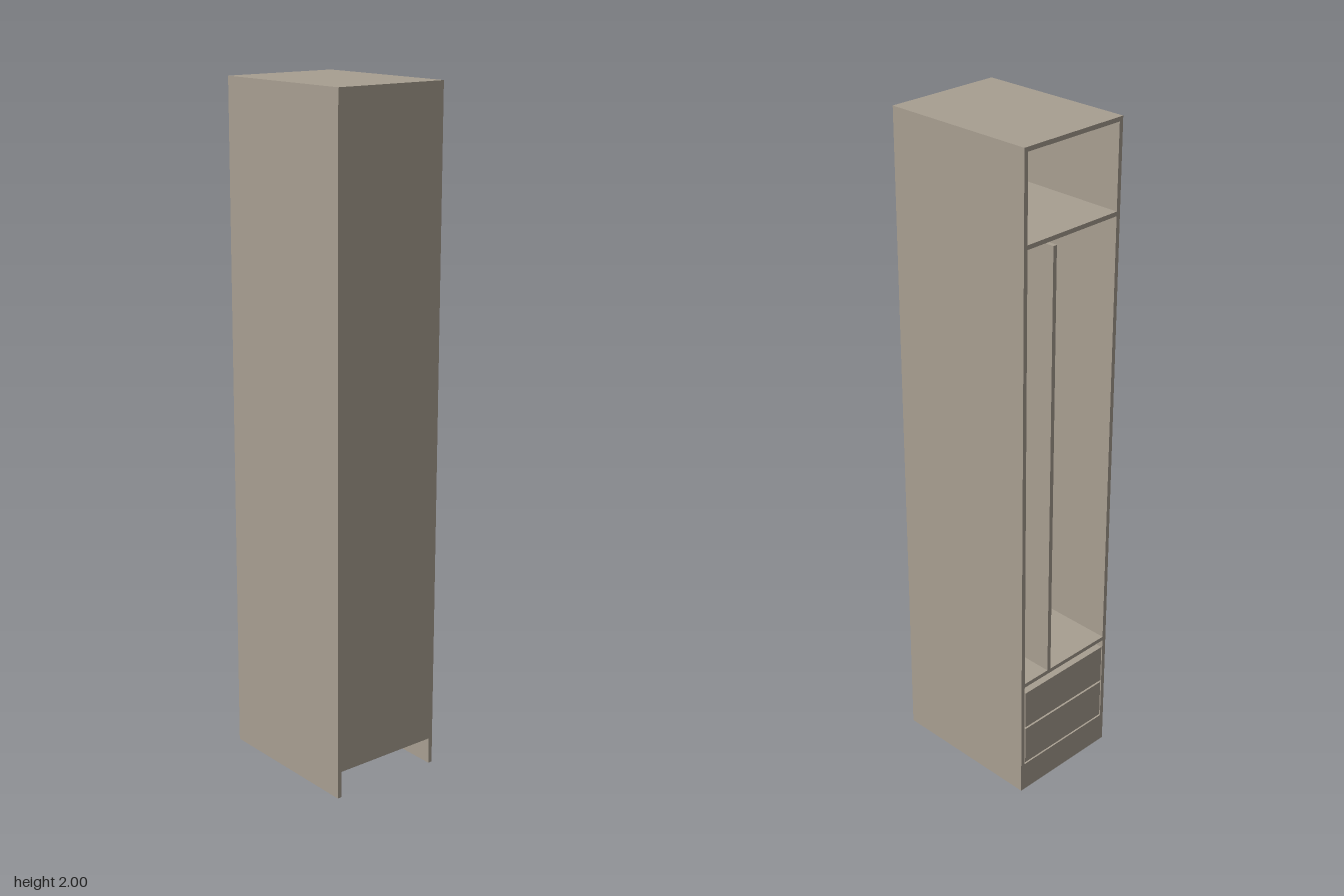
import * as THREE from 'three';

export function createModel() {
  const model = new THREE.Group();
  model.name = 'wardrobe';
  const board = new THREE.MeshStandardMaterial({ color: 0xa89f91 });
  board.name = 'warm grey board';

  const W = 0.36, H = 2, D = 0.48, T = 0.0128;
  const inner = W / 2 - T; // half of the clear width
  const toe = 0.08;

  // Box given by its limits on each axis
  function panel(name, [x0, x1], [y0, y1], [z0, z1]) {
    const mesh = new THREE.Mesh(new THREE.BoxGeometry(x1 - x0, y1 - y0, z1 - z0), board);
    mesh.position.set((x0 + x1) / 2, (y0 + y1) / 2, (z0 + z1) / 2);
    mesh.name = name;
    model.add(mesh);
  }

  const clearX = [-inner, inner];
  const open = -D / 2;             // open side of the carcass
  const closed = D / 2 - T;        // inner face of the closing panel
  const clearZ = [open, closed];

  // Carcass
  panel('leftSide', [inner, W / 2], [0, H], [open, D / 2]);
  panel('rightSide', [-W / 2, -inner], [0, H], [open, D / 2]);
  panel('topPanel', clearX, [H - T, H], [open, D / 2]);
  panel('bottomPanel', clearX, [toe, toe + T], clearZ);
  panel('closingPanel', clearX, [toe, H - T], [closed, D / 2]);
  panel('plinth', clearX, [0, toe], [open, open + T]);

  // Shelves and upright divider, which stops just short of the upper shelf
  const lowShelf = 0.375, highShelf = 1.731, divider = 0.06;
  panel('lowerShelf', clearX, [lowShelf, lowShelf + T], clearZ);
  panel('upperShelf', clearX, [highShelf, highShelf + T], clearZ);
  panel('divider', [divider, divider + T], [lowShelf + T, highShelf - 0.016], clearZ);

  // Two drawers
  for (const [i, y] of [0.099, 0.229].entries()) {
    panel('drawer' + (i + 1), [-inner + 0.004, inner - 0.004], [y, y + 0.123], [open, closed - 0.02]);
  }

  // Hanging rail
  const length = divider + inner;
  const rail = new THREE.Mesh(new THREE.CylinderGeometry(0.008, 0.008, length, 16), board);
  rail.rotation.z = Math.PI / 2;
  rail.position.set((divider - inner) / 2, 1.63, -0.01);
  rail.name = 'hangingRail';
  model.add(rail);

  return model;
}
